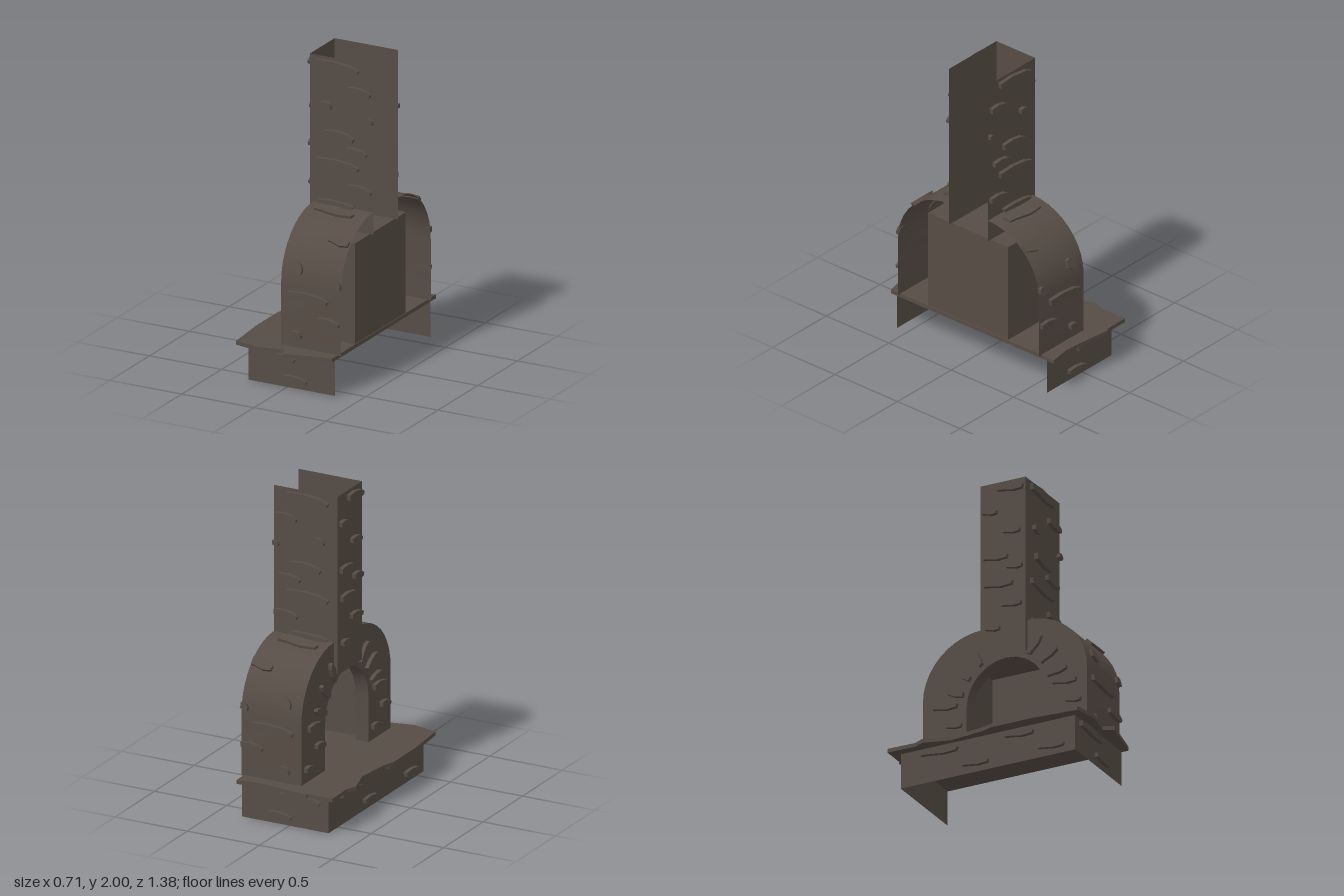
import * as THREE from 'three';
import { toCreasedNormals } from 'three/addons/utils/BufferGeometryUtils.js';

const V = (x, y, z) => new THREE.Vector3(x, y, z);
const CZ = -0.015; // centre line of chimney and shell

export function createModel() {
  const root = new THREE.Group();
  root.name = 'fireplace';
  const stoneMat = new THREE.MeshStandardMaterial({ color: 0x564c45, side: THREE.DoubleSide });
  stoneMat.name = 'sooty stone';

  const add = (name, geo, parent = root) => {
    const m = new THREE.Mesh(geo, stoneMat);
    m.name = name;
    parent.add(m);
    return m;
  };

  // open surface stretched between two rows of points
  const ribbon = (name, a, b) => {
    const pos = [];
    for (let i = 0; i < a.length - 1; i++) {
      for (const p of [a[i], b[i], b[i + 1], a[i], b[i + 1], a[i + 1]]) pos.push(p.x, p.y, p.z);
    }
    const g = new THREE.BufferGeometry();
    g.setAttribute('position', new THREE.Float32BufferAttribute(pos, 3));
    return add(name, toCreasedNormals(g, 0.6));
  };
  // profile in (z, y) swept along x
  const sweepX = (name, pts, x0, x1) =>
    ribbon(name, pts.map(([z, y]) => V(x0, y, z)), pts.map(([z, y]) => V(x1, y, z)));
  // plan in (x, z) raised along y
  const walls = (name, pts, y0, y1) =>
    ribbon(name, pts.map(([x, z]) => V(x, y1, z)), pts.map(([x, z]) => V(x, y0, z)));

  // plinth: three walls, open at the back and below
  walls('plinth', [[0.33, -0.62], [-0.27, -0.62], [-0.27, 0.58], [0.33, 0.58]], 0, 0.235);

  // hearth slab with a chipped outline
  const slab = [[-0.33, -0.68], [-0.165, -0.68], [-0.155, -0.695], [0.1, -0.665], [0.19, -0.66],
    [0.335, -0.68], [0.335, 0.625], [0.03, 0.69], [0, 0.625], [-0.165, 0.66], [-0.33, 0.625],
    [-0.355, 0.33], [-0.355, 0.05], [-0.33, -0.03], [-0.305, -0.26], [-0.355, -0.43], [-0.325, -0.49]];
  const slabShape = new THREE.Shape(slab.map(([x, z]) => new THREE.Vector2(x, -z)));
  const slabGeo = new THREE.ExtrudeGeometry(slabShape, { depth: 0.025, bevelEnabled: false });
  slabGeo.rotateX(-Math.PI / 2).translate(0, 0.23, 0);
  add('hearthSlab', slabGeo);

  // rounded shoulders on either side of the chimney
  const shoulder = (side) => {
    const pts = [[CZ + side * 0.565, 0.25]];
    for (let i = 0; i <= 10; i++) {
      const t = (i / 10) * Math.PI / 2;
      pts.push([CZ + side * (0.155 + 0.41 * Math.cos(t)), 0.65 + 0.4 * Math.sin(t)]);
    }
    return pts;
  };
  const left = shoulder(1), right = shoulder(-1);
  sweepX('leftShoulder', left, -0.06, 0.355);
  sweepX('rightShoulder', right.slice().reverse(), -0.06, 0.355);

  // arched mouth outline, from the right foot over to the left foot
  const mouth = [[-0.28, 0.25]];
  for (let i = 0; i <= 12; i++) {
    const t = Math.PI - (i / 12) * Math.PI;
    mouth.push([-0.005 + 0.275 * Math.cos(t), 0.55 + 0.28 * Math.sin(t)]);
  }
  mouth.push([0.27, 0.25]);

  // front wall with the mouth cut out
  const outline = [...left, ...right.slice().reverse(), ...mouth];
  const frontGeo = new THREE.ShapeGeometry(new THREE.Shape(outline.map(([z, y]) => new THREE.Vector2(z, y))));
  frontGeo.rotateY(-Math.PI / 2).translate(-0.06, 0, 0);
  add('frontWall', frontGeo);
  sweepX('mouthReveal', mouth, -0.06, 0.03);

  // firebox: sides, top and back panel
  sweepX('fireboxShell', [[-0.31, 0.25], [-0.31, 0.905], [0.33, 0.905], [0.33, 0.25]], 0.015, 0.33);
  const back = new THREE.PlaneGeometry(0.64, 0.655);
  back.rotateY(Math.PI / 2).translate(0.33, 0.5775, 0.01);
  add('fireboxBack', back);

  // chimney: three walls, open at the top and back
  walls('chimney', [[0.355, -0.17], [-0.085, -0.17], [-0.085, 0.14], [0.355, 0.14]], 0.905, 2);
  walls('chimneyApron', [[-0.06, -0.17], [-0.085, -0.17], [-0.085, 0.14], [-0.06, 0.14]], 0.84, 0.91);

  // protruding stones
  const stones = new THREE.Group();
  stones.name = 'stones';
  root.add(stones);
  const rough = [[-0.5, 0.4], [-0.1, 0.5], [0.3, 0.3], [0.5, -0.05], [0.46, -0.42], [0.1, -0.5], [-0.3, -0.25], [-0.48, -0.2]];
  const stone = (p, n, u, w, h, depth = 0.025) => {
    const s = new THREE.Shape(rough.map(([a, b]) => new THREE.Vector2(a * w, b * h)));
    const g = new THREE.ExtrudeGeometry(s, { depth, bevelEnabled: false });
    g.applyMatrix4(new THREE.Matrix4().makeBasis(u, n.clone().cross(u), n).setPosition(p));
    add('stone', g, stones);
  };

  // rows of [x, y, width, height] on the side faces
  const chimneyRows = [[0.115, 1.95, 0.29, 0.065], [0.265, 1.81, 0.15, 0.055], [0.035, 1.69, 0.07, 0.05],
    [0.335, 1.63, 0.04, 0.04], [0.125, 1.505, 0.2, 0.065], [0.24, 1.42, 0.15, 0.05],
    [0.115, 1.32, 0.29, 0.06], [0.265, 1.18, 0.16, 0.055], [0.1, 1.065, 0.25, 0.035]];
  const legRows = [[0.13, 0.59, 0.28, 0.06], [0.275, 0.455, 0.15, 0.05], [0.05, 0.34, 0.07, 0.05]];
  const plinthRows = [[-0.08, 0.19, 0.28, 0.055], [0.06, 0.06, 0.16, 0.045]];
  for (const s of [1, -1]) {
    const n = V(0, 0, s), u = V(s, 0, 0);
    for (const [x, y, w, h] of chimneyRows) stone(V(x, y, CZ + s * 0.155), n, u, w, h);
    for (const [x, y, w, h] of legRows) stone(V(x, y, CZ + s * 0.565), n, u, w, h);
    for (const [x, y, w, h] of plinthRows) stone(V(x, y, -0.02 + s * 0.6), n, u, w, h);
    // stones following the curve of the shoulders: [angle, x, width, height]
    for (const [t, x, w, h] of [[0.14, 0.33, 0.05, 0.06], [0.3, 0.05, 0.07, 0.08], [0.82, 0.275, 0.15, 0.08], [1.36, 0.135, 0.28, 0.09]]) {
      const c = Math.cos(t), k = Math.sin(t);
      stone(V(x, 0.645 + 0.395 * k, CZ + s * (0.155 + 0.405 * c)), V(0, k, s * c), u, w, h);
    }
  }

  // stones on the front faces: [z, y, width, height]
  const f = V(-1, 0, 0), along = V(0, 0, 1);
  for (const [z, y, w, h] of [[0.04, 1.95, 0.18, 0.06], [-0.1, 1.81, 0.1, 0.05], [0.05, 1.66, 0.12, 0.05],
    [-0.06, 1.505, 0.17, 0.06], [0.07, 1.42, 0.11, 0.05], [-0.04, 1.32, 0.2, 0.06],
    [0.05, 1.17, 0.14, 0.05], [-0.08, 1.03, 0.1, 0.05]]) stone(V(-0.085, y, z), f, along, w, h);
  for (const [z, y, w, h] of [[-0.42, 0.59, 0.17, 0.06], [-0.36, 0.45, 0.11, 0.05], [-0.5, 0.34, 0.1, 0.05],
    [0.4, 0.59, 0.17, 0.06], [0.46, 0.45, 0.11, 0.05], [0.35, 0.34, 0.1, 0.05]]) stone(V(-0.06, y, z), f, along, w, h);
  for (const [z, y, w, h] of [[-0.35, 0.19, 0.26, 0.055], [-0.1, 0.06, 0.18, 0.045],
    [0.2, 0.19, 0.2, 0.055], [0.42, 0.06, 0.18, 0.045]]) stone(V(-0.27, y, z), f, along, w, h);

  // radial stones around the mouth
  for (const t of [0.3, 0.65, 1.0, 2.14, 2.5, 2.84]) {
    const c = Math.cos(t), k = Math.sin(t);
    stone(V(-0.06, 0.55 + 0.38 * k, -0.005 + 0.37 * c), f, V(0, k, c), 0.14, 0.05);
  }
  return root;
}
